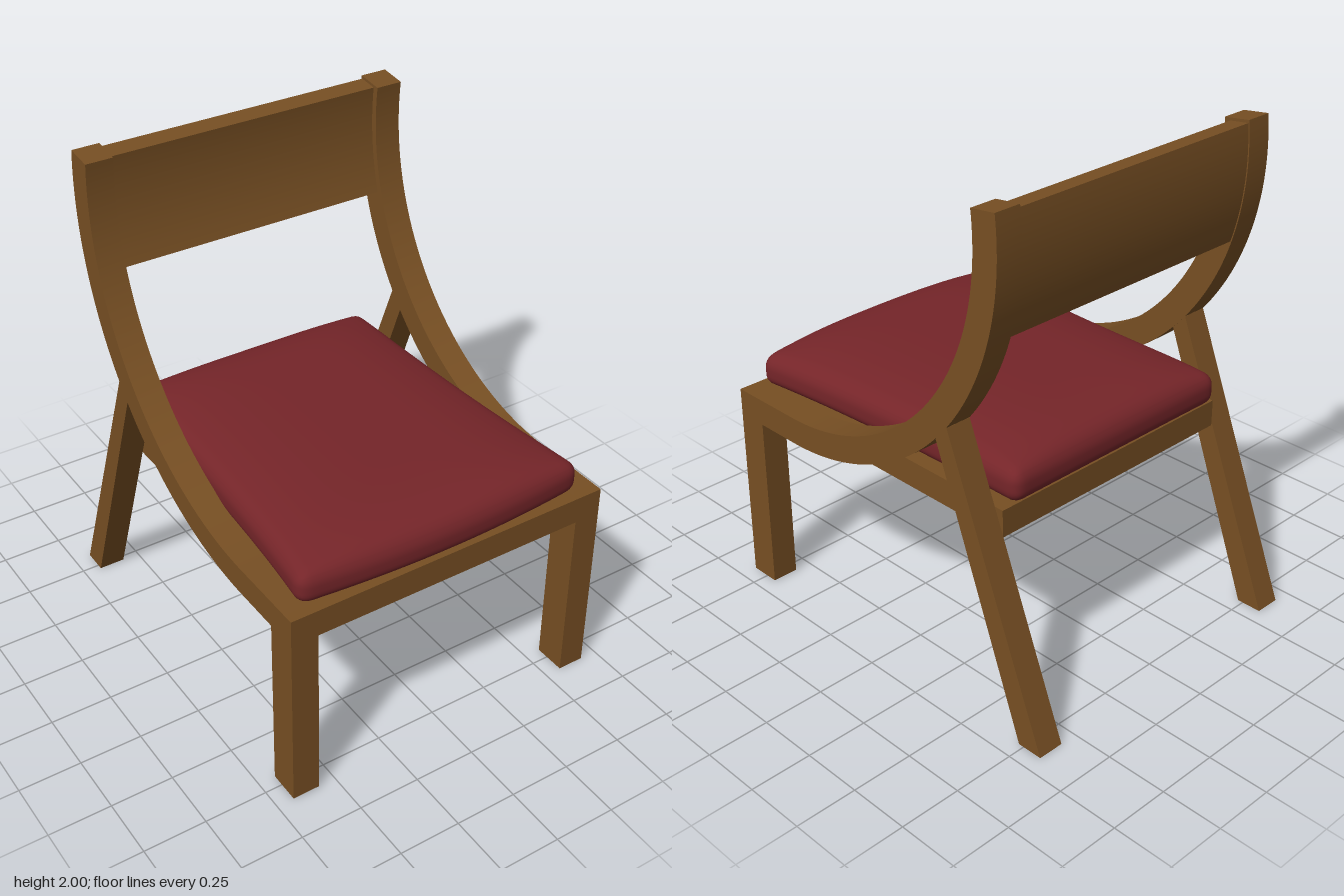
import * as THREE from 'three';
import { mergeVertices, toCreasedNormals } from 'three/addons/utils/BufferGeometryUtils.js';

const wood = new THREE.MeshStandardMaterial({ color: 0x774f23 });
wood.name = 'wood';
const fabric = new THREE.MeshStandardMaterial({ color: 0x752529 });
fabric.name = 'red upholstery';

// The side curve is a circular arc in the (z, y) plane
const CZ = 0.5, CY = 1.86, R = 1.07, HALF = 0.055;
const rad = THREE.MathUtils.degToRad;

function add(group, name, geometry, material, x = 0, y = 0, z = 0) {
  const mesh = new THREE.Mesh(geometry, material);
  mesh.name = name;
  mesh.position.set(x, y, z);
  group.add(mesh);
  return mesh;
}

// Extrude a (z, y) profile along x, centred on x = 0
function sideExtrude(shape, width) {
  const geo = new THREE.ExtrudeGeometry(shape, { depth: width, bevelEnabled: false, curveSegments: 40 });
  geo.translate(0, 0, -width / 2);
  geo.rotateY(-Math.PI / 2);
  return toCreasedNormals(geo, 0.5);
}

// Front leg running into the long arc of the back post
function sideFrameShape() {
  const s = new THREE.Shape();
  s.moveTo(0.7, 0);
  s.lineTo(0.83, 0);
  s.lineTo(0.83, CY - R + HALF);
  s.lineTo(CZ, CY - R + HALF);
  s.absarc(CZ, CY, R - HALF, rad(270), rad(172.8), true);
  s.absarc(CZ, CY, R + HALF, rad(172.8), rad(270), false);
  s.lineTo(0.7, CY - R - HALF);
  s.closePath();
  return s;
}

// Slanted rear leg, widening slightly to the floor
function rearLegShape() {
  return new THREE.Shape([
    [-0.727, 0], [-0.3, 1.135], [-0.375, 1.152], [-0.833, 0],
  ].map(([z, y]) => new THREE.Vector2(z, y)));
}

// Curved board that follows the posts
function backrestShape() {
  const s = new THREE.Shape();
  s.absarc(CZ, CY, 1.04, rad(197.5), rad(173.4), true);
  s.absarc(CZ, CY, 1.12, rad(173.4), rad(197.5), false);
  s.closePath();
  return s;
}

// Soft pad: rounded block, crowned on top and flared toward the front
function cushionGeometry() {
  const H = 0.13, HD = 0.6975, r = 0.05;
  const half = new THREE.Vector3(0.545, H / 2, HD);
  const inner = half.clone().subScalar(r), minInner = inner.clone().negate();
  let geo = new THREE.BoxGeometry(2, 2, 2, 36, 10, 36);
  geo.deleteAttribute('uv');
  geo.deleteAttribute('normal');
  geo = mergeVertices(geo);
  const pos = geo.attributes.position;
  const p = new THREE.Vector3(), c = new THREE.Vector3();
  const crowd = (v) => Math.sin(v * Math.PI / 2);
  for (let i = 0; i < pos.count; i++) {
    p.fromBufferAttribute(pos, i);
    p.set(crowd(p.x), p.y, crowd(p.z)).multiply(half);
    c.copy(p).clamp(minInner, inner);
    p.sub(c).setLength(r).add(c);
    const u = p.x / half.x, w = p.z / HD, t = (w + 1) / 2;
    const lift = (p.y + H / 2) / H;
    const crown = 0.055 * (1 - u ** 4) * (1 - w ** 8);
    pos.setXYZ(i,
      u * (0.545 + 0.07 * t ** 2.5),
      p.y + H / 2 + lift * crown,
      p.z - 0.04 * u * u * t ** 3);
  }
  geo.computeVertexNormals();
  return geo;
}

export function createModel() {
  const chair = new THREE.Group();
  chair.name = 'chair';

  const frameGeo = sideExtrude(sideFrameShape(), 0.11);
  const legGeo = sideExtrude(rearLegShape(), 0.108);
  const sideRailGeo = new THREE.BoxGeometry(0.11, 0.11, 1.365);
  for (const [side, label] of [[1, 'left'], [-1, 'right']]) {
    add(chair, label + 'SideFrame', frameGeo, wood, side * 0.625);
    add(chair, label + 'RearLeg', legGeo, wood, side * 0.625);
    add(chair, label + 'SeatRail', sideRailGeo, wood, side * 0.515, 0.79, 0.1475);
  }

  // Cross members of the seat frame
  for (const [name, z, depth] of [['frontRail', 0.775, 0.11], ['middleRail', 0.147, 0.13], ['rearRail', -0.48, 0.11]]) {
    add(chair, name, new THREE.BoxGeometry(0.92, 0.11, depth), wood, 0, 0.79, z);
  }

  add(chair, 'backrest', sideExtrude(backrestShape(), 1.14), wood);
  add(chair, 'seatCushion', cushionGeometry(), fabric, -0.013, 0.847, 0.1375);
  return chair;
}
